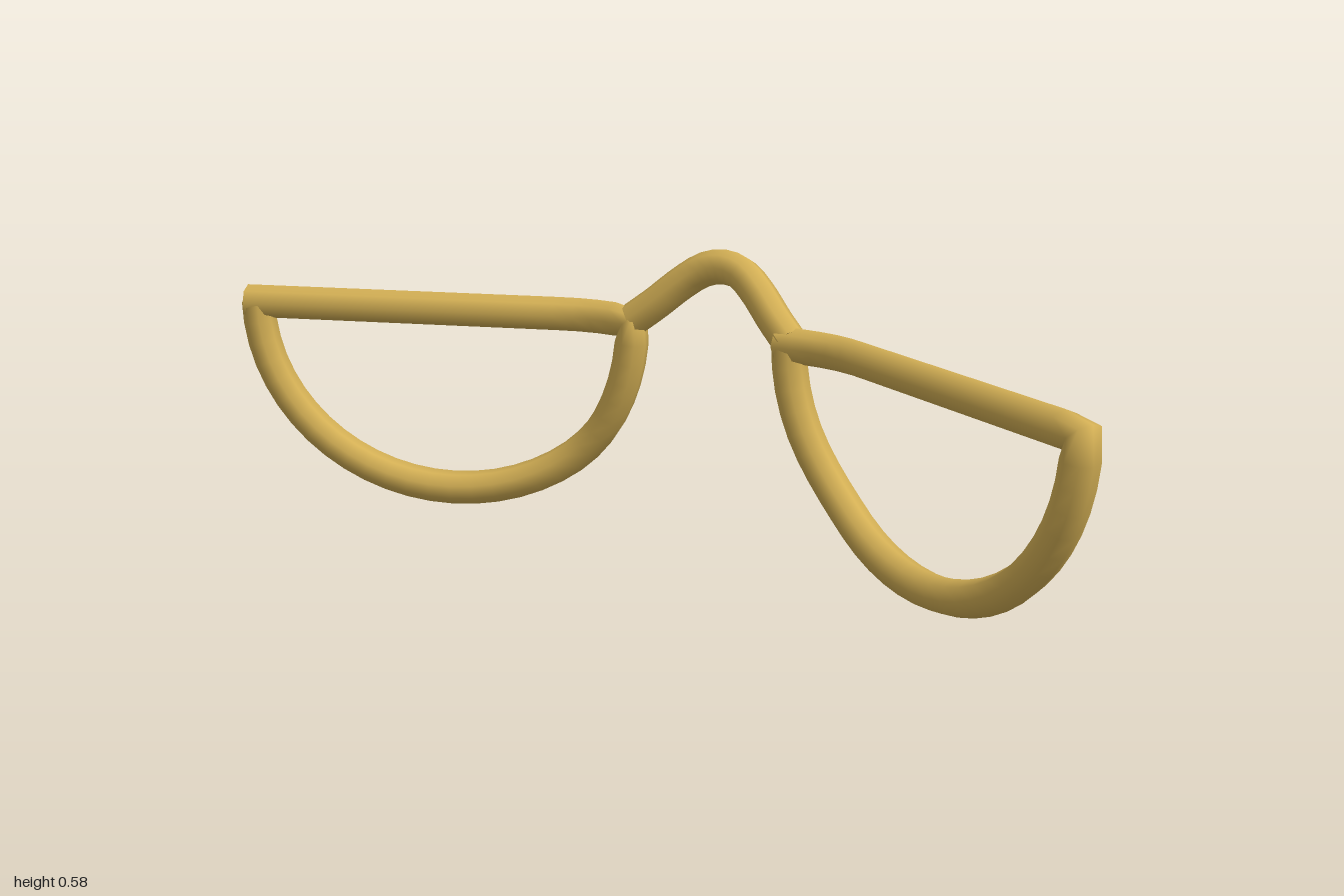
import * as THREE from 'three';
import { mergeGeometries } from 'three/addons/utils/BufferGeometryUtils.js';

const RADIUS = 0.035, SIDES = 8;
const TOP = 0.42, CENTRE = 0.575, ARC = 0.385;

// Curve sampled exactly at its points, so corners become mitred joints
class WirePath extends THREE.Curve {
  constructor(points) { super(); this.points = points; }
  index(u) { return Math.round(u * (this.points.length - 1)); }
  getPoint(u, target = new THREE.Vector3()) { return target.copy(this.points[this.index(u)]); }
  getPointAt(u, target) { return this.getPoint(u, target); }
  getTangentAt(u, target = new THREE.Vector3()) {
    const i = this.index(u), p = this.points, step = new THREE.Vector3();
    target.set(0, 0, 0);
    if (i > 0) target.add(step.subVectors(p[i], p[i - 1]).normalize());
    if (i < p.length - 1) target.add(step.subVectors(p[i + 1], p[i]).normalize());
    return target.normalize();
  }
}

// Round wire along the points, with flat caps on both ends
function wire(points) {
  const n = points.length - 1;
  const tube = new THREE.TubeGeometry(new WirePath(points), n, RADIUS, SIDES, false);
  const ring = tube.attributes.position;
  const cap = (row, centre, flip) => {
    const at = j => new THREE.Vector3().fromBufferAttribute(ring, row * (SIDES + 1) + j);
    const corners = [];
    for (let j = 0; j < SIDES; j++) {
      corners.push(centre, at(flip ? j + 1 : j), at(flip ? j : j + 1));
    }
    const g = new THREE.BufferGeometry().setFromPoints(corners);
    g.computeVertexNormals();
    return g;
  };
  const body = tube.toNonIndexed();
  body.deleteAttribute('uv');
  return mergeGeometries([body, cap(0, points[0], false), cap(n, points[n], true)]);
}

// Depth of the frame: flat beside the bridge, then swept forward
function depth(x) {
  const a = Math.abs(x), from = 0.25, to = 0.36;
  if (a < from) return -0.125;
  if (a < to) return -0.125 + 0.455 * (a - from) ** 2 / (2 * (to - from));
  return -0.125 + 0.455 * (a - (from + to) / 2);
}

// Half-moon rim: straight top bar, then the arc back beneath it
function rim(side) {
  const points = [];
  const centre = side * CENTRE;
  const start = centre - ARC - 0.02, end = centre + ARC;
  const add = (x, y) => points.push(new THREE.Vector3(x, y, depth(x)));
  for (let i = 0; i <= 18; i++) add(THREE.MathUtils.lerp(start, end, i / 18), TOP);
  for (let i = 1; i <= 28; i++) {
    const a = Math.PI * i / 28;
    add(centre + ARC * Math.cos(a), TOP - ARC * Math.sin(a));
  }
  return wire(points);
}

// Arched bridge, leaning backwards
function bridge() {
  const half = [[0.19, 0.425], [0.145, 0.46], [0.09, 0.507], [0.045, 0.536]];
  const profile = [...half.map(([x, y]) => [-x, y]), [0, 0.545], ...half.reverse()];
  const curve = new THREE.CatmullRomCurve3(profile.map(([x, y]) =>
    new THREE.Vector3(x, y, -0.128 - 0.41 * (y - 0.425))));
  return wire(curve.getSpacedPoints(20));
}

export function createModel() {
  const group = new THREE.Group();
  group.name = 'halfMoonSpectacles';
  const gold = new THREE.MeshStandardMaterial({ color: 0xd4b055 });
  gold.name = 'gold';
  const parts = { leftRim: rim(1), rightRim: rim(-1), bridge: bridge() };
  for (const [name, geometry] of Object.entries(parts)) {
    const mesh = new THREE.Mesh(geometry, gold);
    mesh.name = name;
    group.add(mesh);
  }
  return group;
}
